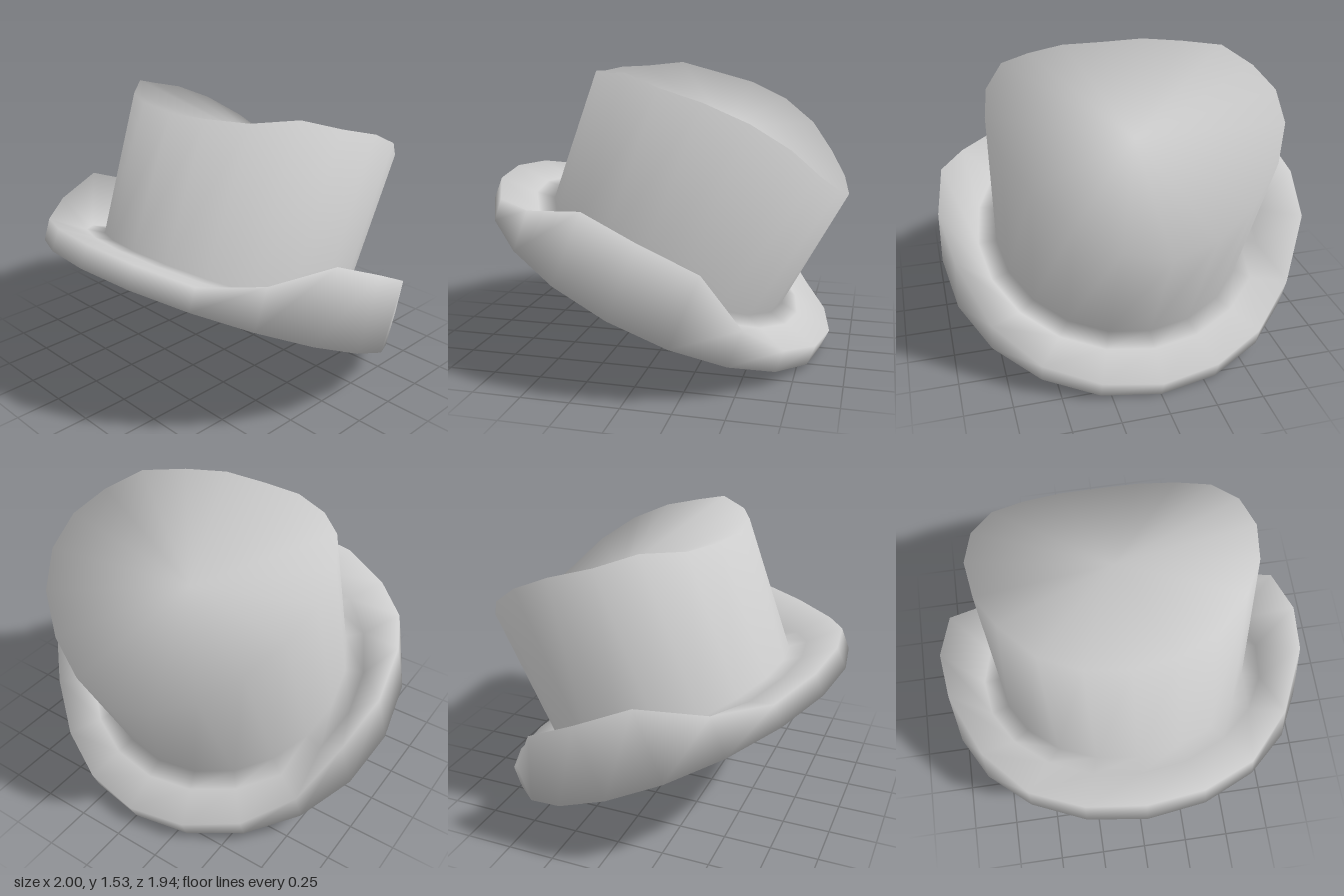
import * as THREE from 'three';

const SIDES = 20;
const material = new THREE.MeshStandardMaterial({ color: 0xcccccc, side: THREE.DoubleSide });

// Edge heights from front (0) to back (10); both sides mirror each other
const BRIM_EDGE = [0.12, 0.12, 0.12, 0.22, 0.395, 0.405, 0.395, 0.2, 0.12, 0.115, 0.115];
const CROWN_EDGE = [0.848, 0.867, 0.907, 0.995, 1.02, 1.057, 1.06, 1.02, 0.94, 0.88, 0.845];
const mirrored = (table, k) => table[k <= 10 ? k : SIDES - k];

// A ring of points: height may vary around it, lean moves its sides forward
function ring(radius, height, lean = 0) {
  return Array.from({ length: SIDES }, (_, k) => {
    const a = (k / SIDES) * Math.PI * 2;
    const z = radius * Math.cos(a) + lean * Math.abs(Math.sin(a));
    return [radius * Math.sin(a), height(k), z];
  });
}

// Smooth closed surface through the rings, with a centre point at each end
function loft(rings, bottom, top) {
  const points = rings.flat();
  const low = points.push([0, bottom, 0]) - 1;
  const high = points.push([0, top, 0]) - 1;
  const last = (rings.length - 1) * SIDES;
  const index = [];
  for (let k = 0; k < SIDES; k++) {
    const n = (k + 1) % SIDES;
    index.push(n, k, low, last + k, last + n, high);
    for (let r = 0; r < last; r += SIDES) {
      index.push(r + k, r + n, r + SIDES + n, r + k, r + SIDES + n, r + SIDES + k);
    }
  }
  const geometry = new THREE.BufferGeometry();
  geometry.setAttribute('position', new THREE.Float32BufferAttribute(points.flat(), 3));
  geometry.setIndex(index);
  geometry.computeVertexNormals();
  return geometry;
}

export function createModel() {
  // One surface: flat underside, brim curled up at both sides, trough round
  // the crown, flared crown wall and a top dished between its raised sides
  const hat = new THREE.Mesh(loft([
    ring(1, () => 0),
    ring(1, (k) => mirrored(BRIM_EDGE, k), 0.02),
    ring(0.8, () => 0.12),
    ring(0.7, () => 0.13),
    ring(0.743, (k) => mirrored(CROWN_EDGE, k), 0.06),
  ], 0, 0.87), material);
  hat.name = 'topHat';

  // Tilted back so the front of the brim is raised
  hat.rotation.x = -THREE.MathUtils.degToRad(25);
  hat.position.set(0, 0.424, 0.06);

  const model = new THREE.Group();
  model.name = 'model';
  model.add(hat);
  return model;
}
